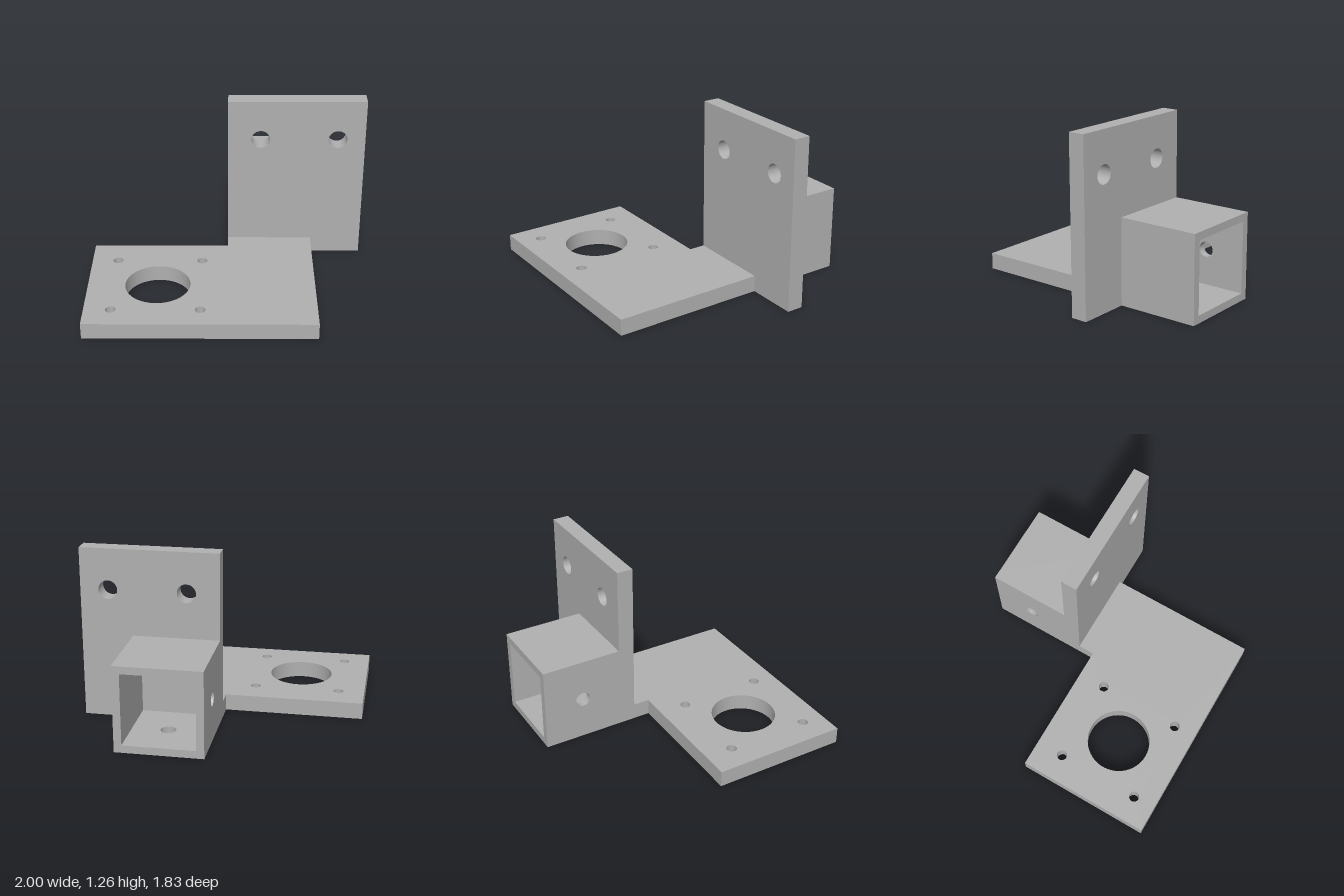
import * as THREE from 'three';
import { toCreasedNormals } from 'three/addons/utils/BufferGeometryUtils.js';

const steel = new THREE.MeshStandardMaterial({ color: 0xb0b0b0 });
steel.name = 'grey steel';

const rect = (u0, v0, u1, v1) => [[u0, v0], [u1, v0], [u1, v1], [u0, v1]];

// Flat panel from an outline, with round holes given as [u, v, radius]
function panel(name, outline, holes, thickness) {
  const shape = new THREE.Shape(outline.map(([u, v]) => new THREE.Vector2(u, v)));
  for (const [u, v, r] of holes) {
    shape.holes.push(new THREE.Path().absarc(u, v, r, 0, Math.PI * 2, true));
  }
  const geometry = new THREE.ExtrudeGeometry(shape, {
    depth: thickness, bevelEnabled: false, curveSegments: 48,
  });
  const mesh = new THREE.Mesh(toCreasedNormals(geometry, 0.5), steel);
  mesh.name = name;
  return mesh;
}

// Horizontal panel: outline in (x, z), standing on height y
function floorPanel(name, outline, holes, thickness, y) {
  const mesh = panel(name, outline, holes, thickness);
  mesh.geometry.rotateX(Math.PI / 2).translate(0, y + thickness, 0);
  return mesh;
}

// Side panel: outline in (z, y), starting at x
function sidePanel(name, outline, holes, thickness, x) {
  const mesh = panel(name, outline, holes, thickness);
  mesh.geometry.rotateY(-Math.PI / 2).translate(x + thickness, 0, 0);
  return mesh;
}

export function createModel() {
  const model = new THREE.Group();
  model.name = 'mountingBracket';

  const T = 0.12;                       // plate thickness
  const W = 0.625, H = 0.627;           // tube width and height
  const wall = 0.055;                   // tube wall thickness
  const plateFront = -0.2, plateBack = -0.32, back = -0.917, front = 0.917;

  // Base plate with a large bore and four screw holes
  const cx = -0.5, cz = 0.438, pitch = 0.31;
  const baseHoles = [[cx, cz, 0.232]];
  for (const sx of [-1, 1]) {
    for (const sz of [-1, 1]) baseHoles.push([cx + sx * pitch, cz + sz * pitch, 0.037]);
  }
  const baseOutline = [
    [-1, -0.08], [0, -0.08], [0, plateFront], [W, plateFront], [W, front], [-1, front],
  ];
  model.add(floorPanel('basePlate', baseOutline, baseHoles, T, 0));

  // Upright plate with two bolt holes
  const upright = panel('uprightPlate', rect(0, 0, 1, 1.258),
    [[0.237, 0.958, 0.068], [0.8, 0.958, 0.068]], T);
  upright.position.z = plateBack;
  model.add(upright);

  // Square tube behind the upright, drilled through the floor and one side
  const tube = new THREE.Group();
  tube.name = 'squareTube';
  const midZ = (plateBack + back) / 2, drill = 0.055;
  const sideOutline = rect(back, 0, plateBack, H);
  const innerOutline = rect(wall, back, W - wall, plateBack);
  tube.add(
    sidePanel('tubeRightWall', sideOutline, [[midZ, H / 2, drill]], wall, 0),
    sidePanel('tubeLeftWall', sideOutline, [], wall, W - wall),
    floorPanel('tubeFloor', innerOutline, [[W / 2, midZ, drill]], wall, 0),
    floorPanel('tubeRoof', innerOutline, [], wall, H - wall),
  );
  model.add(tube);

  return model;
}
